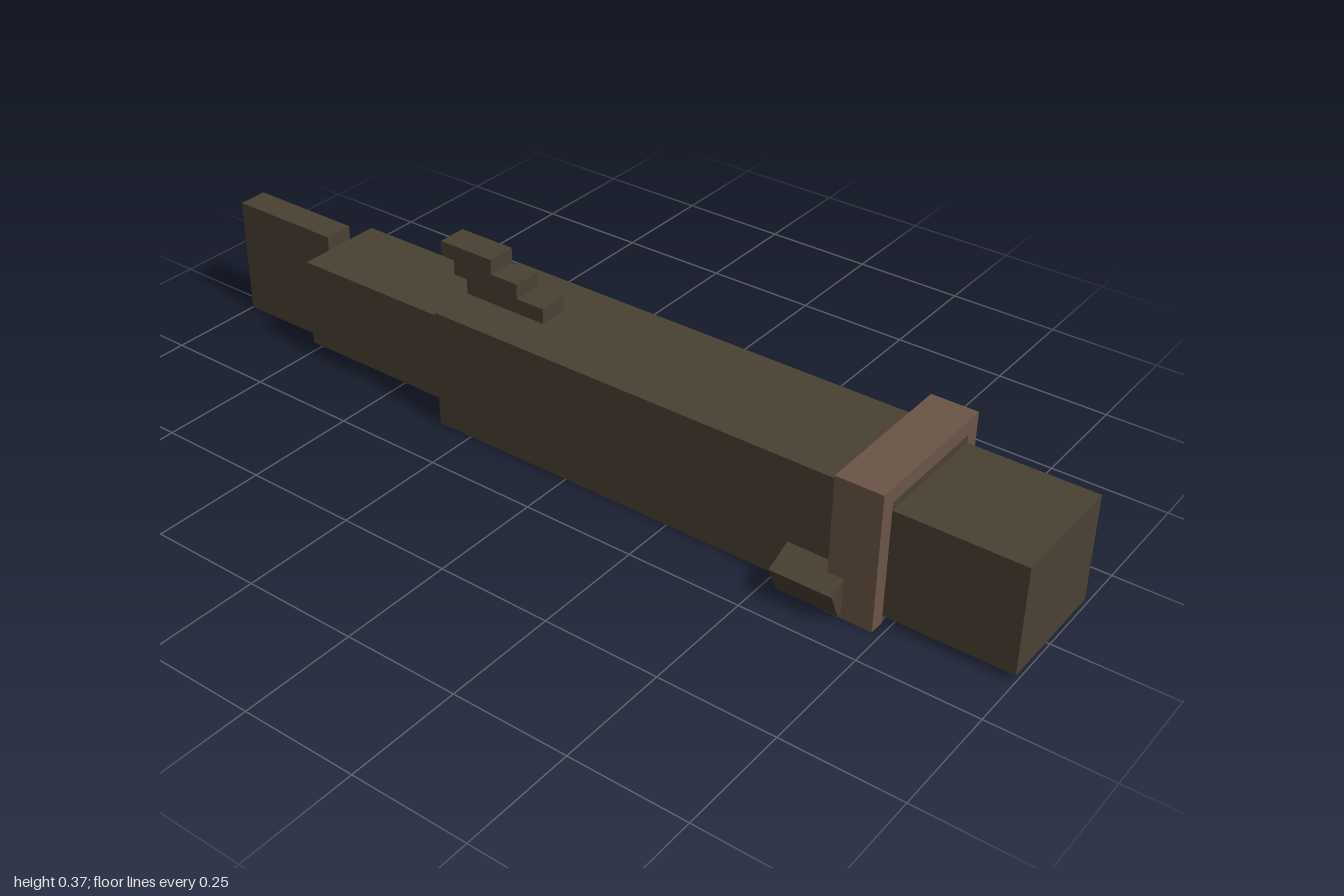
import * as THREE from 'three';

export function createModel() {
  const model = new THREE.Group();
  model.name = 'model';

  const darkMetal = new THREE.MeshStandardMaterial({ color: 0x4b4134 });
  darkMetal.name = 'dark metal';
  const brownMetal = new THREE.MeshStandardMaterial({ color: 0x6b5647 });
  brownMetal.name = 'brown metal';

  // Box given by its limits on each axis
  function box(name, material, [x0, x1], [y0, y1], [z0, z1], parent = model) {
    const mesh = new THREE.Mesh(new THREE.BoxGeometry(x1 - x0, y1 - y0, z1 - z0), material);
    mesh.name = name;
    mesh.position.set((x0 + x1) / 2, (y0 + y1) / 2, (z0 + z1) / 2);
    parent.add(mesh);
    return mesh;
  }

  // Main shaft, from nose block to tail fin
  box('body', darkMetal, [-0.133, 0.133], [0.002, 0.267], [-0.333, 0.733]);
  box('noseBlock', darkMetal, [-0.133, 0.133], [0.017, 0.25], [0.733, 1]);
  box('rearNeck', darkMetal, [-0.1, 0.1], [0.035, 0.235], [-0.733, -0.333]);
  box('tailFin', darkMetal, [-0.033, 0.033], [0, 0.267], [-1, -0.733]);

  // Collar strapped over the top and sides of the body
  const collar = new THREE.Group();
  collar.name = 'collar';
  model.add(collar);
  box('collarTop', brownMetal, [-0.167, 0.167], [0.267, 0.3], [0.633, 0.733], collar);
  for (const side of [-1, 1]) {
    const xs = side > 0 ? [0.133, 0.167] : [-0.167, -0.133];
    box('collarSide', brownMetal, xs, [0, 0.267], [0.633, 0.733], collar);

    // Tilted lug low on each side
    const lug = box('sideLug', darkMetal, [-0.033, 0.033], [-0.033, 0.033], [0.533, 0.667]);
    lug.position.x = side * 0.162;
    lug.position.y = 0.055;
    lug.rotation.z = -side * THREE.MathUtils.degToRad(25);
  }

  // Stepped lever climbing towards the rear
  const lever = new THREE.Group();
  lever.name = 'steppedLever';
  model.add(lever);
  [[-0.333, -0.133], [-0.367, -0.2], [-0.4, -0.267]].forEach((zs, i) => {
    const y = 0.267 + i / 30;
    box('leverStep', darkMetal, [-0.033, 0.033], [y, y + 1 / 30], zs, lever);
  });

  // Small round button under the body
  const button = new THREE.Mesh(new THREE.CylinderGeometry(0.033, 0.033, 0.004, 24), brownMetal);
  button.name = 'undersideButton';
  button.position.set(0, 0.002, -0.167);
  model.add(button);

  return model;
}
